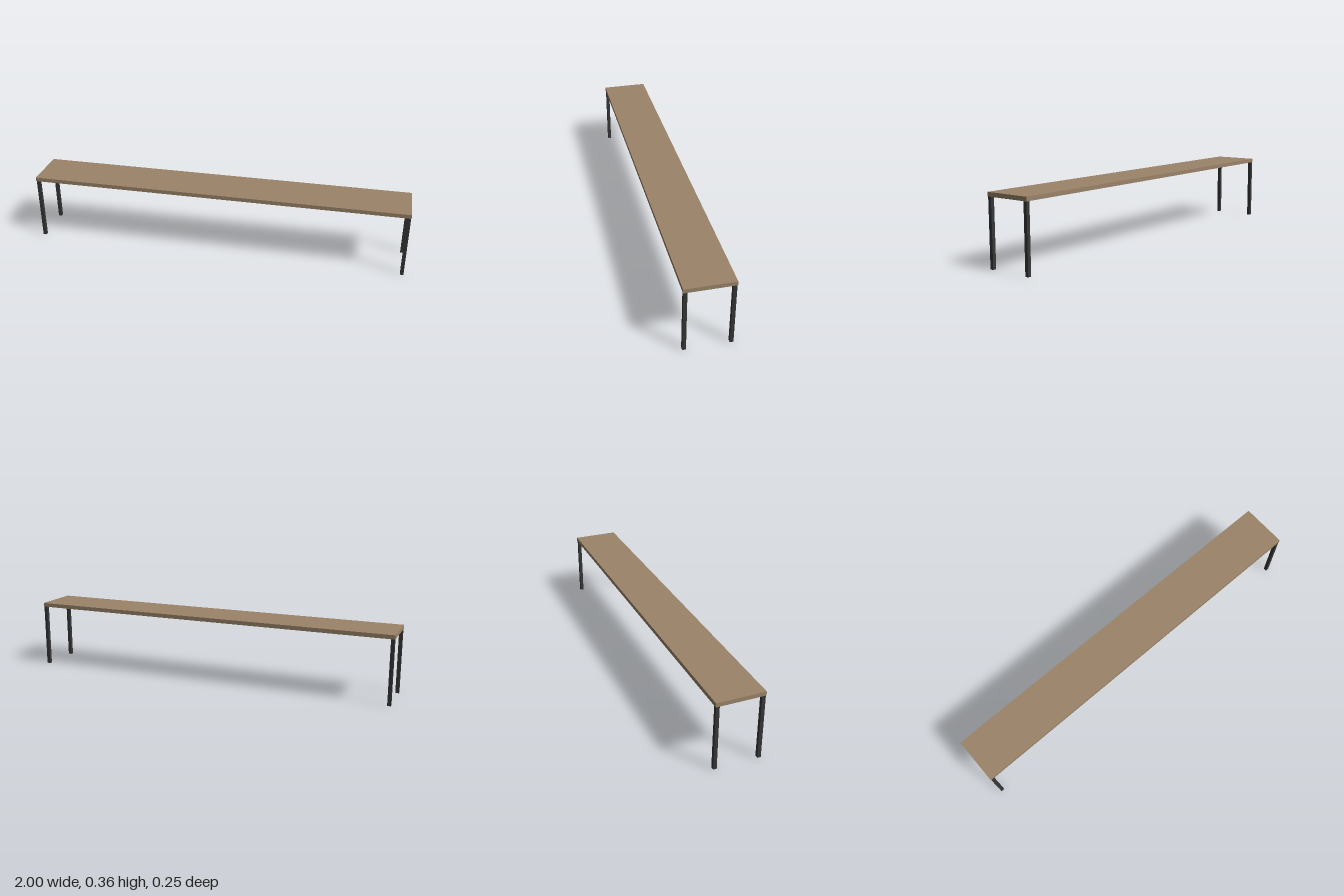
import * as THREE from 'three';

export function createModel() {
  const model = new THREE.Group();
  model.name = 'bench';

  const wood = new THREE.MeshStandardMaterial({ color: 0x9b8469 });
  const metal = new THREE.MeshStandardMaterial({ color: 0x363636 });

  const height = 0.357, thickness = 0.021, depth = 0.245;
  const legHeight = height - thickness, legWidth = 0.018;

  // Long plank seat
  const seat = new THREE.Mesh(new THREE.BoxGeometry(2, thickness, depth), wood);
  seat.name = 'seat';
  seat.position.y = height - thickness / 2;
  model.add(seat);

  // Four square legs, set in slightly from the corners
  const legGeometry = new THREE.BoxGeometry(legWidth, legHeight, legWidth);
  const inset = 0.002 + legWidth / 2;
  for (const [side, sx] of [['Left', 1], ['Right', -1]]) {
    for (const [end, sz] of [['front', 1], ['back', -1]]) {
      const leg = new THREE.Mesh(legGeometry, metal);
      leg.name = `${end}${side}Leg`;
      leg.position.set(sx * (1 - inset), legHeight / 2, sz * (depth / 2 - inset));
      model.add(leg);
    }
  }

  return model;
}
